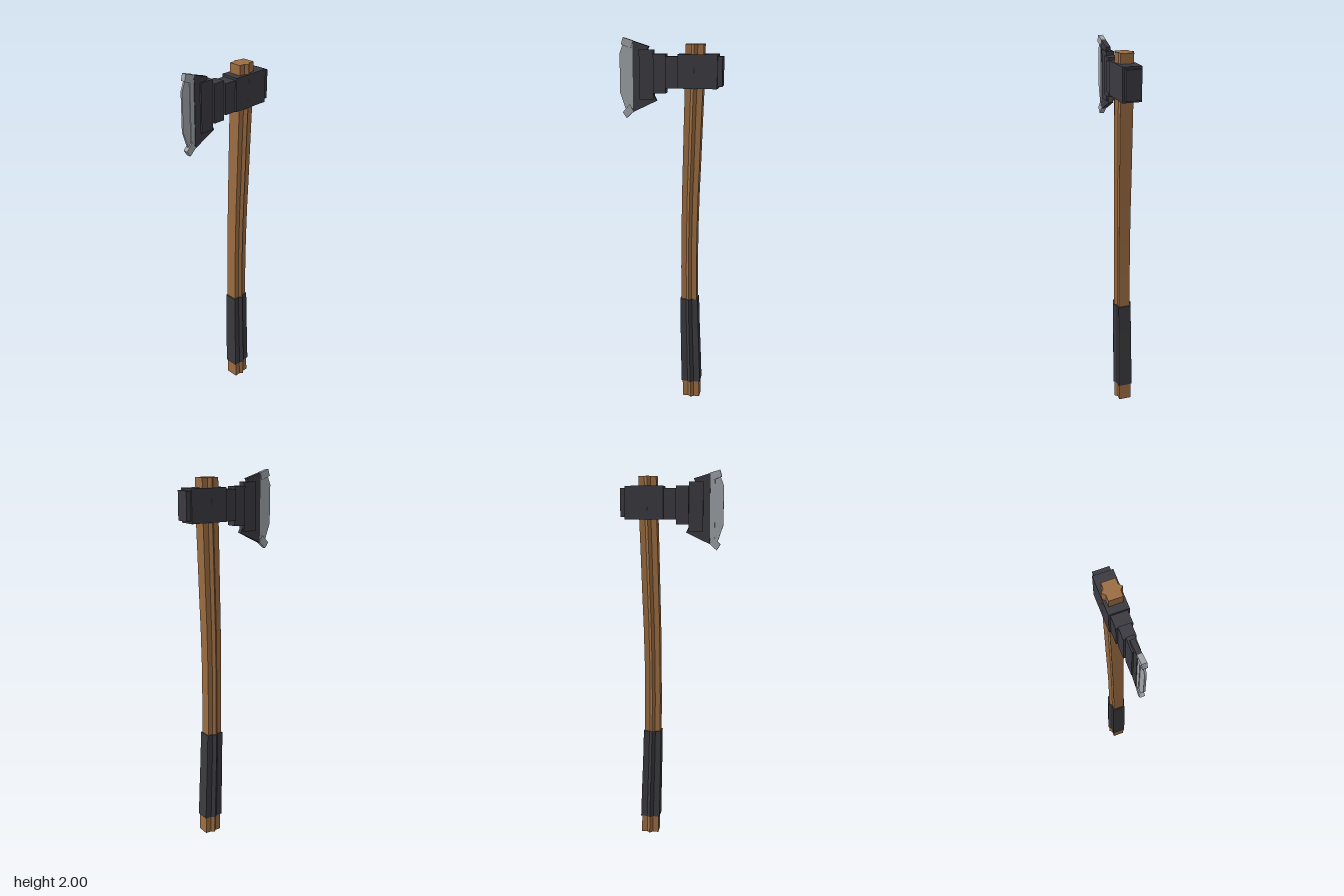
import * as THREE from 'three';

const mat = (name, color) => {
  const m = new THREE.MeshStandardMaterial({ color });
  m.name = name;
  return m;
};

// Handle bend: height, centre x, thickness factor
const BEND = [
  [0, 0.122, 1], [0.2, 0.117, 0.97], [0.4, 0.11, 0.93], [0.6, 0.105, 0.9], [0.8, 0.103, 0.89], [1.0, 0.104, 0.89],
  [1.2, 0.107, 0.92], [1.4, 0.113, 0.95], [1.6, 0.118, 0.97], [1.75, 0.123, 0.99], [1.97, 0.125, 1],
];

function bendAt(y) {
  let i = 0;
  while (i < BEND.length - 2 && y > BEND[i + 1][0]) i++;
  const [a, b] = [BEND[i], BEND[i + 1]];
  const t = (y - a[0]) / (b[0] - a[0]);
  return [a[1] + (b[1] - a[1]) * t, a[2] + (b[2] - a[2]) * t];
}

const polygon = (pts) => new THREE.Shape(pts.map(([x, y]) => new THREE.Vector2(x, y)));

// Bent shaft: a bar with a pointed ridge along front and back
function shaft(y0, y1, steps, grow) {
  const half = [[0.047, -0.034], [0.047, 0.034], [0.016, 0.034], [0, 0.0495], [-0.016, 0.034]];
  const section = [...half, ...half.map(([x, z]) => [-x, -z])];
  const g = new THREE.ExtrudeGeometry(polygon(section), { depth: y1 - y0, steps, bevelEnabled: false });
  g.rotateX(-Math.PI / 2).translate(0, y0, 0);
  const p = g.attributes.position;
  for (let i = 0; i < p.count; i++) {
    const [cx, s] = bendAt(p.getY(i));
    p.setX(i, cx + p.getX(i) * s * grow);
    p.setZ(i, p.getZ(i) * s * grow);
  }
  g.computeVertexNormals();
  return g;
}

// Flat plate in the xy plane, centred on z = 0
function plate(pts, halfZ) {
  return new THREE.ExtrudeGeometry(polygon(pts), { depth: halfZ * 2, bevelEnabled: false }).translate(0, 0, -halfZ);
}

export function createModel() {
  const axe = new THREE.Group();
  axe.name = 'axe';
  const wood = mat('wood', 0x9c6d42);
  const wrap = mat('gripWrap', 0x3b3b40);
  const iron = mat('darkIron', 0x3b3a41);
  const steel = mat('edgeSteel', 0xa0a4a9);

  const add = (name, geometry, material) => {
    const m = new THREE.Mesh(geometry, material);
    m.name = name;
    axe.add(m);
  };

  add('handle', shaft(0.005, 1.97, 10, 1), wood);
  add('grip', shaft(0.1, 0.6, 3, 1.13), wrap);

  // Head blocks, stepping down in thickness toward the blade: x0, x1, y0, y1, half depth
  const blocks = [
    ['poll', 0.24, 0.268, 1.762, 1.91, 0.04],
    ['eyeBlock', 0.04, 0.243, 1.75, 1.92, 0.049],
    ['neck', -0.025, 0.04, 1.75, 1.908, 0.04],
    ['cheek', -0.09, -0.025, 1.722, 1.92, 0.03],
    ['bladeRoot', -0.165, -0.09, 1.688, 1.94, 0.02],
  ];
  for (const [name, x0, x1, y0, y1, hz] of blocks) {
    const g = new THREE.BoxGeometry(x1 - x0, y1 - y0, hz * 2);
    add(name, g.translate((x0 + x1) / 2, (y0 + y1) / 2, 0), iron);
  }

  // Flared blade body
  add('bladeBody', plate([
    [-0.2, 1.983], [-0.2, 1.622], [-0.075, 1.682], [-0.092, 1.715], [-0.15, 1.73], [-0.15, 1.92], [-0.125, 1.932], [-0.115, 1.957],
  ], 0.012), iron);

  // Cutting edge: backing strip, thin edge and the two thicker horn tips
  add('edgeBacking', plate([[-0.225, 1.97], [-0.225, 1.64], [-0.199, 1.64], [-0.199, 1.97]], 0.009), steel);
  add('cuttingEdge', plate([
    [-0.245, 1.985], [-0.27, 1.92], [-0.27, 1.72], [-0.24, 1.632], [-0.2, 1.64], [-0.2, 1.98],
  ], 0.005), steel);
  add('upperTip', plate([[-0.25, 2], [-0.26, 1.966], [-0.21, 1.945], [-0.198, 1.984]], 0.0125), steel);
  add('lowerTip', plate([[-0.236, 1.59], [-0.198, 1.625], [-0.219, 1.66], [-0.256, 1.62]], 0.0125), steel);

  return axe;
}
